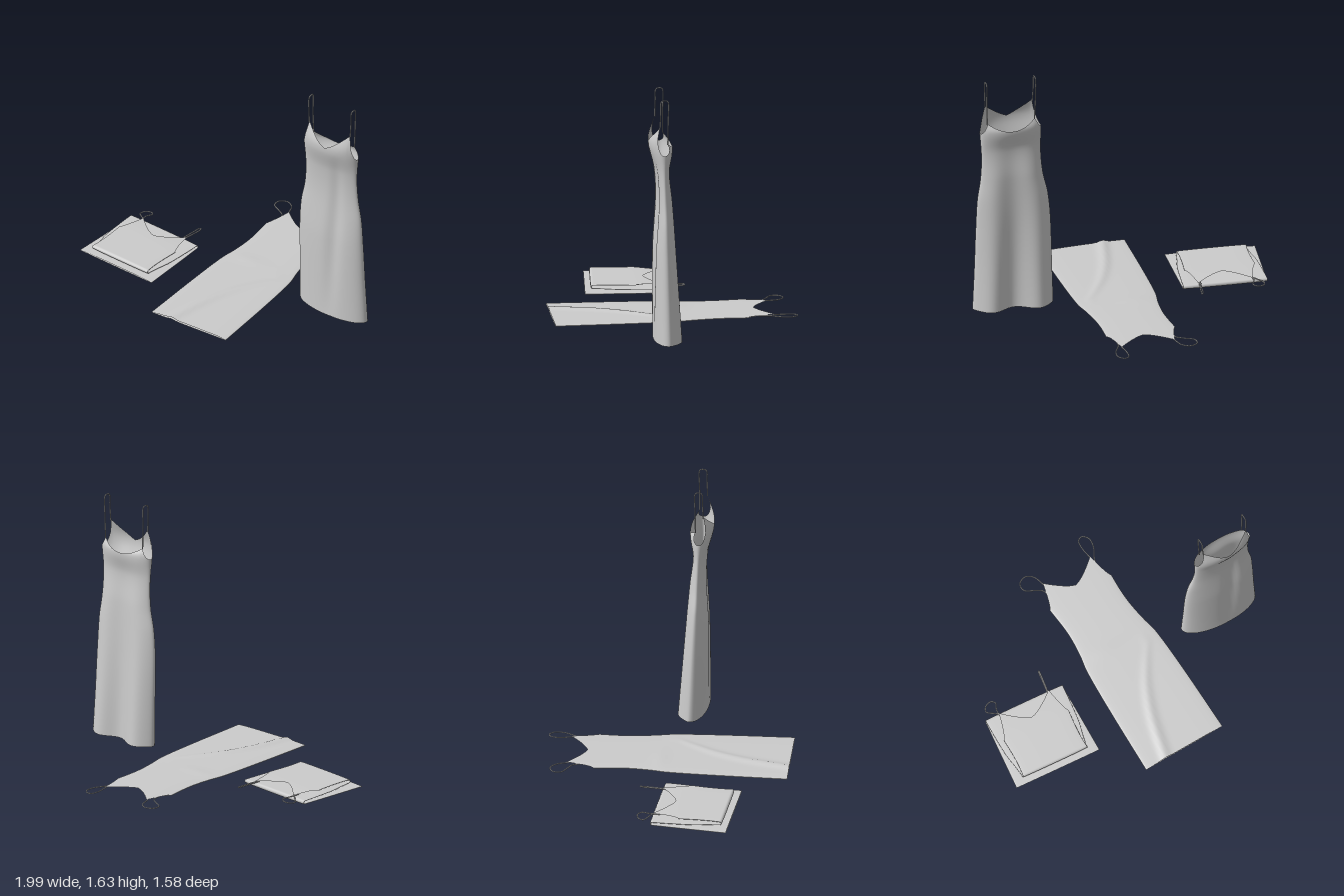
import * as THREE from 'three';

const fabric = new THREE.MeshStandardMaterial({ color: 0xcccccc, side: THREE.DoubleSide });
const HEM = 0.03, ARM = 1.28, PEAK = Math.cos(Math.PI * 40 / 180);

// Smooth curve through [x, y] pairs.
function smooth(x, pts) {
  const n = pts.length - 1;
  if (x <= pts[0][0]) return pts[0][1];
  if (x >= pts[n][0]) return pts[n][1];
  let i = 0;
  while (x > pts[i + 1][0]) i++;
  const slope = k => {
    const a = pts[Math.max(k - 1, 0)], b = pts[Math.min(k + 1, n)];
    return (b[1] - a[1]) / (b[0] - a[0]);
  };
  const [x0, y0] = pts[i], [x1, y1] = pts[i + 1], w = x1 - x0, t = (x - x0) / w;
  const t2 = t * t, t3 = t2 * t;
  return (2 * t3 - 3 * t2 + 1) * y0 + (t3 - 2 * t2 + t) * w * slope(i)
    + (3 * t2 - 2 * t3) * y1 + (t3 - t2) * w * slope(i + 1);
}
const bump = (x, width) => Math.exp(-((x / width) ** 2));

// Top edge: armhole rising to the strap point, then the neckline dip.
function topEdge(u, front) {
  const a = Math.abs(u), peak = front ? 1.46 : 1.35;
  if (a > PEAK) return ARM + (peak - ARM) * Math.pow((1 - a) / (1 - PEAK), 1.5);
  const t = a / PEAK;
  return front ? 1.34 + 0.12 * Math.pow(t, 1.35) : 1.295 + 0.055 * t * t;
}

// Closed tube of cloth; place(u, s, e, front) puts width u and height s in space,
// e is the roundness (0 at the side seams, 1 in the middle).
function dressBody(name, rows, place) {
  const cols = 72, topRows = 12, total = rows + topRows, pos = [], idx = [];
  for (let i = 0; i <= total; i++) for (let j = 0; j < cols; j++) {
    const a = j / cols * Math.PI * 2, u = Math.cos(a), front = Math.sin(a) > 0;
    const s = i <= rows ? HEM + (1.22 - HEM) * i / rows
      : 1.22 + (topEdge(u, front) - 1.22) * (i - rows) / topRows;
    pos.push(...place(u, s, Math.abs(Math.sin(a)), front));
    if (i < total) {
      const k = i * cols + j, r = i * cols + (j + 1) % cols;
      idx.push(k, k + cols, r, r, k + cols, r + cols);
    }
  }
  const g = new THREE.BufferGeometry();
  g.setAttribute('position', new THREE.Float32BufferAttribute(pos, 3));
  g.setIndex(idx);
  g.computeVertexNormals();
  const m = new THREE.Mesh(g, fabric);
  m.name = name;
  return m;
}

function strap(name, pts) {
  const curve = new THREE.CatmullRomCurve3(pts.map(p => new THREE.Vector3(...p)), false, 'centripetal');
  const m = new THREE.Mesh(new THREE.TubeGeometry(curve, 60, 0.004, 6), fabric);
  m.name = name;
  return m;
}

function hangingDress() {
  const g = new THREE.Group();
  g.name = 'hangingDress';
  const centre = [[0.03, 0.735], [0.6, 0.7275], [0.8, 0.73], [0.95, 0.735], [1.28, 0.74], [1.46, 0.746]];
  const half = [[0.03, 0.265], [0.3, 0.256], [0.6, 0.2475], [0.8, 0.234], [0.95, 0.207], [1.1, 0.1975], [1.28, 0.205]];
  const frontDepth = [[0.03, 0.095], [0.6, 0.075], [0.95, 0.045], [1.15, 0.05], [1.34, 0.083], [1.46, 0.04]];
  const backDepth = [[0.03, 0.035], [0.6, 0.04], [0.95, 0.042], [1.15, 0.037], [1.295, 0.07], [1.35, 0.04]];
  g.add(dressBody('hangingBody', 60, (u, s, e, front) => {
    const low = Math.max(0, 1 - s / 1.3);
    const mid = 0.145 - low * (0.04 - 0.015 * u);
    // Soft drapes: a slanting crease in front, two lobes behind
    const crease = 0.02 * Math.sin(Math.PI * (1 - low)) * bump(u - 0.1 - 0.3 * (1 - low), 0.2);
    const lobes = 0.08 * low * Math.sin(Math.PI * u * 0.75) ** 2;
    const z = front ? mid + e * (smooth(s, frontDepth) - crease)
      : mid - e * (smooth(s, backDepth) + lobes);
    return [smooth(s, centre) + u * smooth(s, half), s, z];
  }));
  for (const side of [-1, 1]) {
    const x = 0.744 + side * 0.158, top = 0.743 + side * 0.163;
    g.add(strap(side < 0 ? 'hangingRightStrap' : 'hangingLeftStrap', [
      [x, 1.45, 0.17], [top, 1.56, 0.166], [top, 1.625, 0.164], [top, 1.636, 0.155],
      [top, 1.636, 0.125], [top, 1.625, 0.117], [top, 1.5, 0.118], [x, 1.345, 0.12]]));
  }
  return g;
}

const flatHalf = [[0.03, 0.287], [0.5, 0.277], [0.8, 0.262], [0.92, 0.24], [1.05, 0.225], [1.15, 0.224], [1.28, 0.232]];

function flatDress() {
  const g = new THREE.Group();
  g.name = 'flatDress';
  const centre = [[0.03, 0.067], [0.8, 0.0675], [1.0, 0.0625], [1.28, 0.0525], [1.46, 0.055]];
  const ridge = [[0.05, 0.24], [0.15, 0.17], [0.3, 0.08], [0.5, 0], [0.78, -0.07]];
  g.add(dressBody('flatBody', 80, (u, s, e, front) => {
    const x = smooth(s, centre) + u * smooth(s, flatHalf), z = 0.813 - s;
    // Diagonal wrinkle across the skirt
    const rise = smooth(z, [[-0.05, 0], [0.2, 0.008], [0.6, 0.014], [0.78, 0.015]]);
    const wrinkle = rise * bump(x - smooth(z, ridge), 0.03)
      + 0.003 * bump(z + 0.05, 0.05) * bump(x + 0.05, 0.12);
    return [x, front ? 0.012 + 0.01 * Math.sqrt(e) + wrinkle * e : 0.012 - 0.002 * e + wrinkle * e * 0.6, z];
  }));
  g.add(strap('flatRightStrap', [[-0.12, 0.016, -0.63], [-0.15, 0.014, -0.715], [-0.2, 0.014, -0.745],
    [-0.25, 0.014, -0.72], [-0.25, 0.014, -0.67], [-0.19, 0.014, -0.632], [-0.145, 0.014, -0.6], [-0.13, 0.014, -0.54]]));
  g.add(strap('flatLeftStrap', [[0.23, 0.016, -0.635], [0.218, 0.014, -0.72], [0.225, 0.014, -0.775],
    [0.255, 0.014, -0.79], [0.29, 0.014, -0.755], [0.285, 0.014, -0.69], [0.245, 0.014, -0.61], [0.24, 0.014, -0.54]]));
  return g;
}

// Z-fold path: distance d from the hem and offset off along the front normal -> [y, z].
function zFold(d, off) {
  const r = 0.01, arc = Math.PI * r, L1 = 0.485, L2 = 0.435, y0 = 0.016;
  if (d < L1) return [y0 + off, L1 - d];
  d -= L1;
  if (d < arc) return [y0 + r - (r - off) * Math.cos(d / r), -(r - off) * Math.sin(d / r)];
  d -= arc;
  if (d < L2) return [y0 + 2 * r - off, d];
  d -= L2;
  if (d < arc) return [y0 + 3 * r - (r + off) * Math.cos(d / r), L2 + (r + off) * Math.sin(d / r)];
  d -= arc;
  return [y0 + 4 * r + off, L2 - d];
}

function foldedDress() {
  const g = new THREE.Group();
  g.name = 'foldedDress';
  const body = dressBody('foldedBody', 170, (u, s, e, front) => {
    const [y, z] = zFold(s - HEM, (front ? 1 : -1) * 0.0045 * Math.sqrt(e));
    // Upper layers sag a little near the back edge
    const sag = s > 1.05 ? 0.008 * bump(z + 0.03, 0.1) : 0;
    return [u * (smooth(s, flatHalf) + 0.01 * Math.max(0, 1 - s / 0.5)), y - sag, z];
  });
  body.position.set(-0.655, 0, 0);
  body.rotation.y = -0.09;
  g.add(body);
  g.add(strap('foldedRightStrap', [[-0.83, 0.052, -0.02], [-0.865, 0.045, -0.05], [-0.893, 0.035, -0.08],
    [-0.88, 0.035, -0.112], [-0.835, 0.04, -0.125], [-0.812, 0.045, -0.1], [-0.83, 0.05, -0.06], [-0.835, 0.048, 0.02]]));
  g.add(strap('foldedLeftStrap', [[-0.492, 0.054, 0.01], [-0.478, 0.053, -0.07], [-0.467, 0.05, -0.135],
    [-0.461, 0.047, -0.142], [-0.461, 0.043, -0.13], [-0.472, 0.044, -0.06], [-0.49, 0.048, 0.03]]));
  return g;
}

export function createModel() {
  const model = new THREE.Group();
  model.name = 'slipDresses';
  model.add(hangingDress(), flatDress(), foldedDress());
  return model;
}
